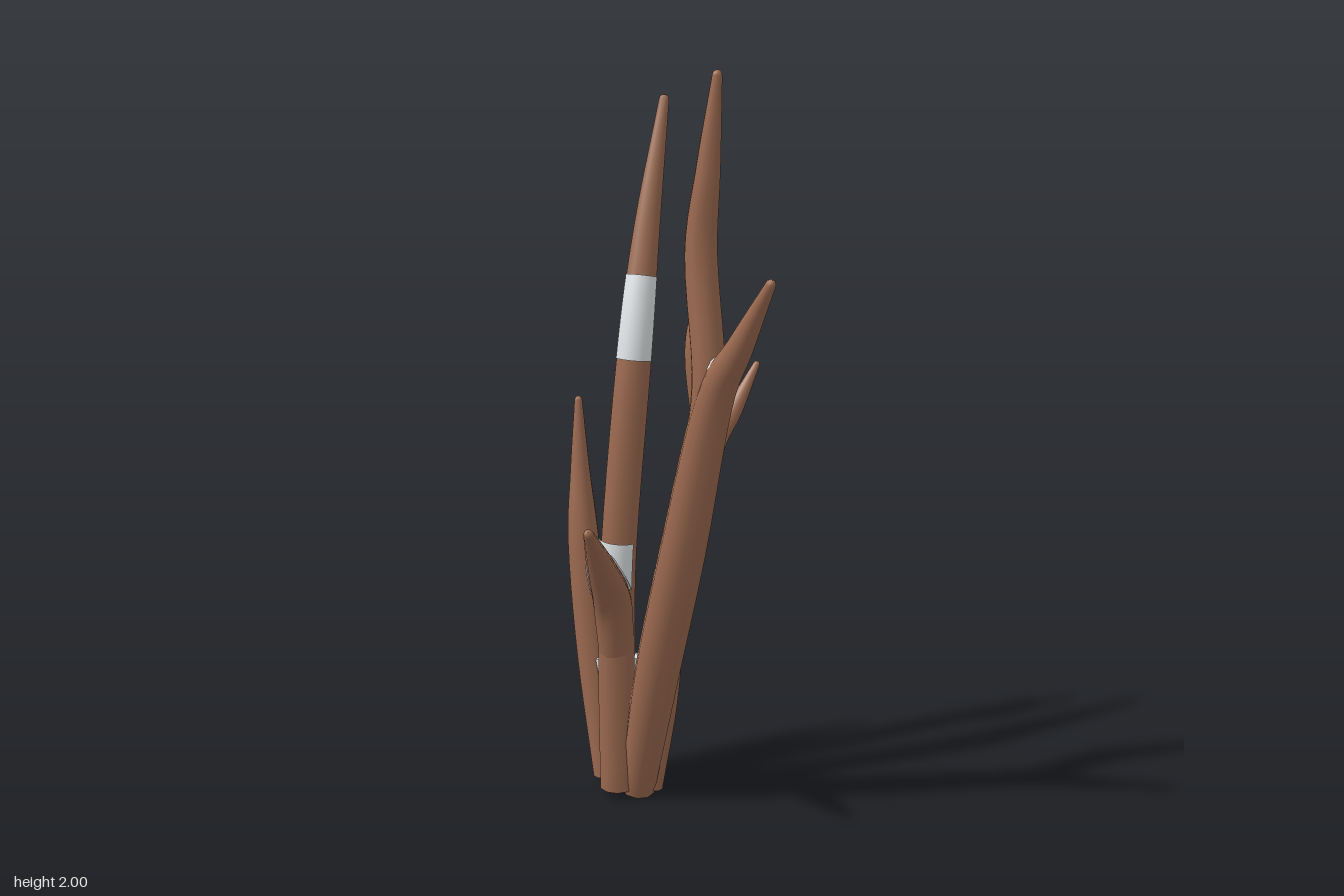
import * as THREE from 'three';
import { ConvexGeometry } from 'three/addons/geometries/ConvexGeometry.js';

const SIDES = 10;

// Limb through points [x, y, z, radius]. With a patch, only a strip of its skin is built.
function limbGeometry(points, patch) {
  const path = new THREE.CatmullRomCurve3(points.map(p => new THREE.Vector3(p[0], p[1], p[2])), false, 'catmullrom');
  const size = new THREE.CatmullRomCurve3(points.map(p => new THREE.Vector3(p[3], 0, 0)), false, 'catmullrom');
  const { from = 0, to = 1, centre = 180, spread = 360, lift = 0 } = patch || {};
  const steps = patch ? 6 : (points.length - 1) * 5;
  const rings = [];
  for (let i = 0; i <= steps; i++) {
    const t = from + (to - from) * i / steps;
    rings.push({ c: path.getPoint(t), d: path.getTangent(t), r: size.getPoint(t).x + lift });
  }
  if (!patch) {
    // rounded tip and flat foot
    const { c, d, r } = rings[steps];
    for (const a of [0.5, 1.0, 1.5]) {
      rings.push({ c: c.clone().addScaledVector(d, r * Math.sin(a)), d, r: r * Math.cos(a) });
    }
    const foot = rings[0];
    rings.unshift({ ...foot, r: 0.0005 }, { ...foot });
  }
  const pos = [], index = [];
  const row = patch ? SIDES + 1 : SIDES;
  for (const { c, d, r } of rings) {
    const u = new THREE.Vector3(1, 0, 0).addScaledVector(d, -d.x).normalize();
    const v = u.clone().cross(d);
    for (let j = 0; j < row; j++) {
      const a = THREE.MathUtils.degToRad(centre + spread * (j / SIDES - 0.5));
      const p = c.clone().addScaledVector(u, r * Math.cos(a)).addScaledVector(v, r * Math.sin(a));
      pos.push(p.x, p.y, p.z);
    }
  }
  for (let i = 0; i < rings.length - 1; i++) {
    if (!patch && i === 1) continue; // keeps the edge of the foot sharp
    for (let j = 0; j < SIDES; j++) {
      const k = (j + 1) % row;
      const a = i * row + j, b = i * row + k, c = a + row, e = b + row;
      index.push(a, c, b, b, c, e);
    }
  }
  const g = new THREE.BufferGeometry();
  g.setAttribute('position', new THREE.Float32BufferAttribute(pos, 3));
  g.setIndex(index);
  g.computeVertexNormals();
  return g;
}

export function createModel() {
  const model = new THREE.Group();
  model.name = 'branchCluster';
  const bark = new THREE.MeshStandardMaterial({ color: 0x9c6a50 });
  bark.name = 'bark';
  const snow = new THREE.MeshStandardMaterial({ color: 0xe6eaec, side: THREE.DoubleSide });
  snow.name = 'snow';

  const add = (name, geometry, material) => {
    const mesh = new THREE.Mesh(geometry, material);
    mesh.name = name;
    model.add(mesh);
    return mesh;
  };

  const limbs = {
    // large leaning branch and its upright fork
    leaningBranch: [[-0.175, 0.02, 0.055, 0.05], [-0.06, 0.4, 0.07, 0.062], [0.06, 0.78, 0.072, 0.062],
      [0.18, 1.18, 0.07, 0.05], [0.285, 1.34, 0.07, 0.034], [0.4, 1.51, 0.07, 0.013]],
    leaningFork: [[0.14, 1.08, 0.07, 0.045], [0.162, 1.26, 0.07, 0.044], [0.125, 1.55, 0.066, 0.043],
      [0.15, 1.76, 0.064, 0.032], [0.18, 1.99, 0.06, 0.013]],
    // tall middle branch and its forward fork
    middleBranch: [[-0.2, 0.03, 0.105, 0.05], [-0.185, 0.4, 0.115, 0.052], [-0.158, 0.75, 0.122, 0.05],
      [-0.135, 1.25, 0.085, 0.048], [-0.158, 1.58, 0.025, 0.036], [-0.187, 1.91, -0.055, 0.014]],
    forwardFork: [[-0.185, 0.42, 0.115, 0.048], [-0.145, 0.59, 0.155, 0.054],
      [-0.04, 0.725, 0.26, 0.04], [0.11, 0.885, 0.405, 0.013]],
    // back branch and its upright fork
    backBranch: [[-0.215, 0.02, 0.02, 0.038], [-0.228, 0.45, -0.1, 0.043], [-0.232, 0.9, -0.235, 0.037],
      [-0.23, 1.04, -0.33, 0.025], [-0.23, 1.16, -0.41, 0.01]],
    backFork: [[-0.232, 0.83, -0.215, 0.032], [-0.235, 0.98, -0.225, 0.033], [-0.238, 1.22, -0.2, 0.033],
      [-0.24, 1.38, -0.225, 0.022], [-0.242, 1.52, -0.245, 0.011]],
    // two plain shoots
    sideShoot: [[-0.285, 0.03, 0.08, 0.04], [-0.33, 0.38, 0.09, 0.048], [-0.365, 0.7, 0.095, 0.045],
      [-0.385, 0.9, 0.09, 0.028], [-0.396, 1.095, 0.085, 0.011]],
    smallShoot: [[-0.16, 0.02, 0.02, 0.035], [-0.13, 0.28, -0.012, 0.034], [-0.115, 0.5, -0.024, 0.029],
      [-0.108, 0.79, -0.032, 0.01]]
  };
  for (const [name, points] of Object.entries(limbs)) add(name, limbGeometry(points), bark);

  // snow lying on the bark
  add('middleSnow', limbGeometry(limbs.middleBranch,
    { from: 0.6, to: 0.725, centre: 38, spread: 125, lift: 0.004 }), snow);
  add('crotchSnow', limbGeometry(limbs.middleBranch,
    { from: 0.34, to: 0.405, centre: 62, spread: 140, lift: 0.005 }), snow);
  add('forwardForkSnow', limbGeometry(limbs.forwardFork,
    { from: 0.38, to: 0.7, centre: 225, spread: 150, lift: 0.004 }), snow);

  // snow caught in the forks
  for (const [name, at, scale] of [
    ['leaningForkSnow', [0.205, 1.265, 0.07], [0.033, 0.042, 0.034]],
    ['backForkSnow', [-0.232, 0.985, -0.266], [0.028, 0.034, 0.032]]
  ]) {
    const lump = add(name, new THREE.SphereGeometry(1, 12, 8), snow);
    lump.position.set(...at);
    lump.scale.set(...scale);
  }

  // snow wedge packed between the side shoot and the others
  const wedge = [
    [-0.31, 0.39, 0.06], [-0.285, 0.38, 0.115], [-0.21, 0.4, 0.125], [-0.2, 0.38, -0.03],
    [-0.26, 0.37, -0.04], [-0.3, 0.36, 0.03], [-0.25, 0.15, 0.05], [-0.25, 0.18, 0.1], [-0.225, 0.15, 0.04]
  ].map(p => new THREE.Vector3(...p));
  add('baseSnow', new ConvexGeometry(wedge), snow);
  return model;
}
